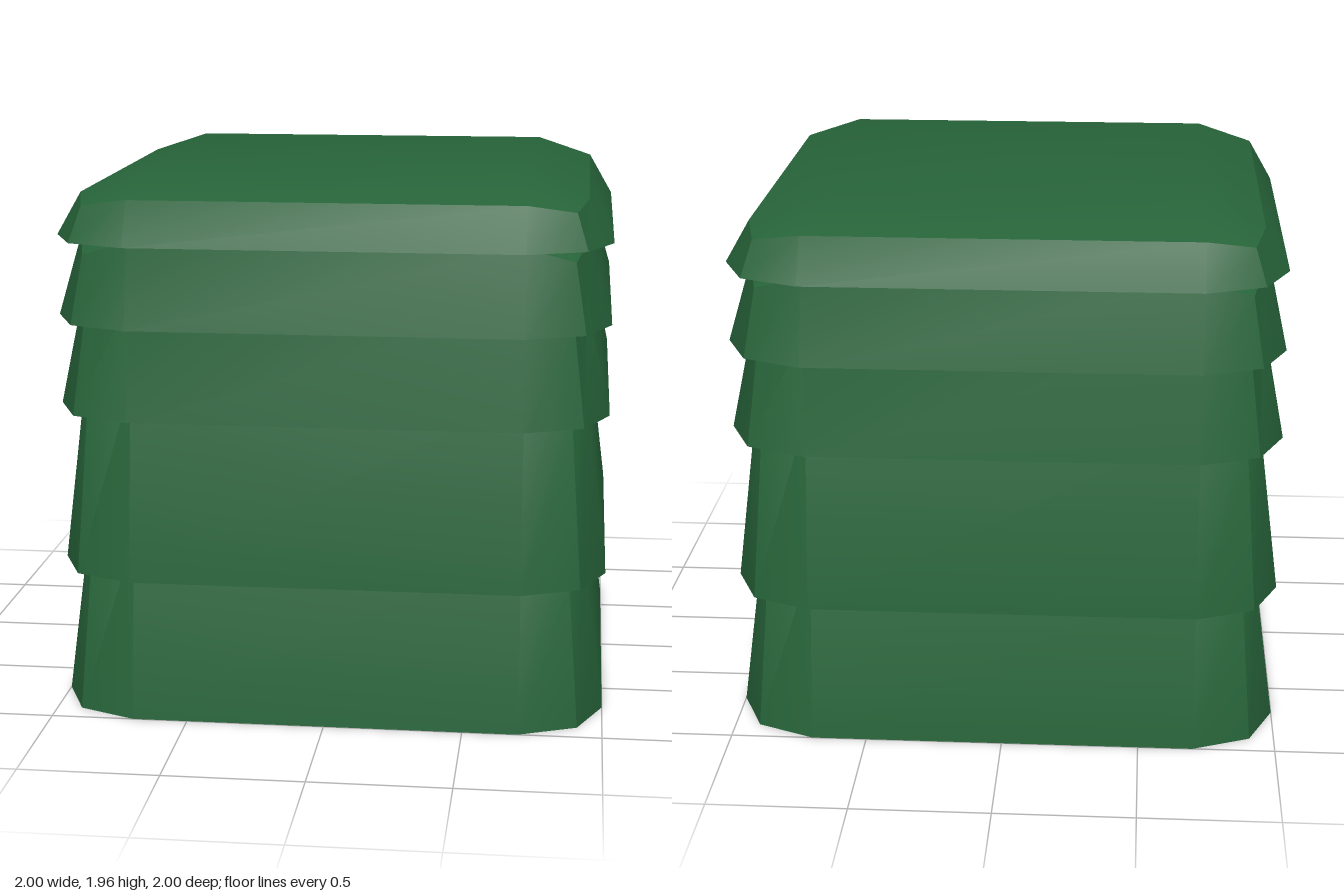
import * as THREE from 'three';
import { toCreasedNormals } from 'three/addons/utils/BufferGeometryUtils.js';

// Corner cross-sections [x, height fraction, z], from the flared hem up to the flat crown
const RINGS = [
  [[1, 0, 0.7], [0.91, 0, 0.91], [0.7, 0, 1]],
  [[0.91, 0.69, 0.7], [0.87, 0.57, 0.87], [0.7, 0.69, 0.91]],
  [[0.7, 1, 0.7], [0.7, 1, 0.7], [0.7, 1, 0.7]],
];

// Repeat one corner around the four sides
function fullRing(corner, height) {
  const points = [];
  for (let q = 0; q < 4; q++) {
    for (const [x, y, z] of corner) {
      const p = [[x, z], [-z, x], [-x, -z], [z, -x]][q];
      points.push(new THREE.Vector3(p[0], y * height, p[1]));
    }
  }
  return points;
}

// Open-bottomed shell with a bevelled, domed top
function tierGeometry(height) {
  const rings = RINGS.map((r) => fullRing(r, height));
  const centre = new THREE.Vector3(0, height, 0);
  const positions = [];
  const triangle = (a, b, c) => {
    if (a.equals(b) || b.equals(c) || a.equals(c)) return;
    for (const p of [a, b, c]) positions.push(p.x, p.y, p.z);
  };
  const n = rings[0].length;
  for (let i = 0; i < n; i++) {
    const j = (i + 1) % n;
    for (let k = 0; k < rings.length - 1; k++) {
      const lo = rings[k], hi = rings[k + 1];
      triangle(lo[i], hi[i], lo[j]);
      triangle(hi[i], hi[j], lo[j]);
    }
    triangle(centre, rings[2][j], rings[2][i]);
  }
  const geometry = new THREE.BufferGeometry();
  geometry.setAttribute('position', new THREE.Float32BufferAttribute(positions, 3));
  return toCreasedNormals(geometry, 0.6);
}

export function createModel() {
  const foliage = new THREE.MeshStandardMaterial({ color: 0x266339, side: THREE.DoubleSide });
  foliage.name = 'foliage green';

  const group = new THREE.Group();
  group.name = 'tieredHedge';

  // Overlapping tiers: [base y, shell height]
  const tiers = [[0, 0.955], [0.52, 1.01], [1.11, 0.6], [1.44, 0.435], [1.733, 0.225]];
  tiers.forEach(([y, height], i) => {
    const tier = new THREE.Mesh(tierGeometry(height), foliage);
    tier.name = `foliageTier${i + 1}`;
    tier.position.y = y;
    group.add(tier);
  });
  return group;
}
